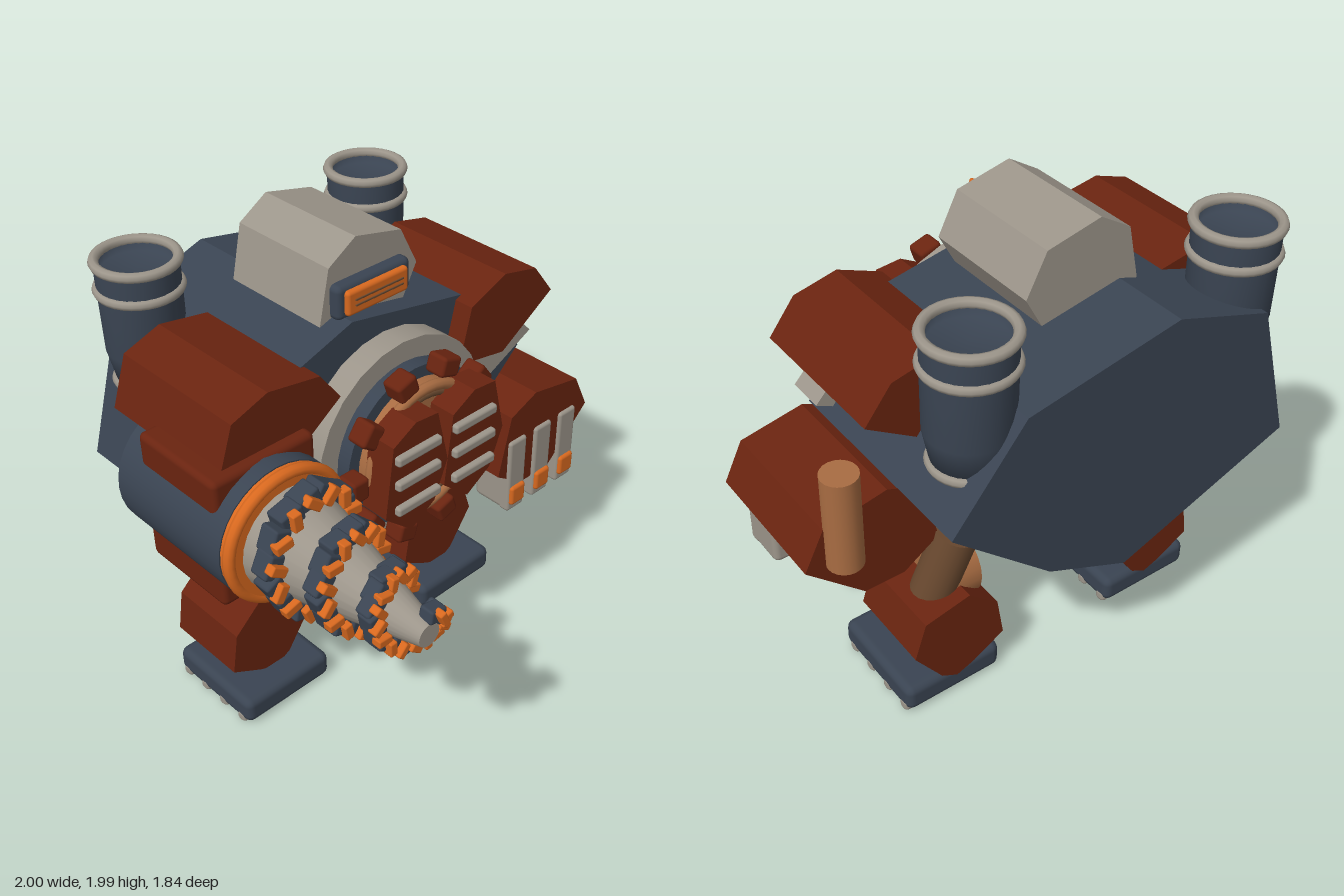
import * as THREE from 'three';
import { RoundedBoxGeometry } from 'three/addons/geometries/RoundedBoxGeometry.js';

const mat = (name, color) => new THREE.MeshStandardMaterial({ name, color });

export function createModel() {
  const model = new THREE.Group();
  model.name = 'drillRobot';
  const red = mat('rust red', 0x6a2410), slate = mat('slate blue', 0x3a4452);
  const cream = mat('warm grey', 0x9c958a), tan = mat('copper', 0xa86c42);
  const orange = mat('orange', 0xd9691f), brown = mat('dark bronze', 0x6b4a30);

  const add = (name, geo, material, x = 0, y = 0, z = 0) => {
    const m = new THREE.Mesh(geo, material);
    m.name = name;
    m.position.set(x, y, z);
    model.add(m);
    return m;
  };
  // polygon in the front plane, extruded from z0 to z1
  const prism = (name, pts, z0, z1, material, dx = 0) => {
    const shape = new THREE.Shape(pts.map(([x, y]) => new THREE.Vector2(x + dx, y)));
    const geo = new THREE.ExtrudeGeometry(shape, { depth: z1 - z0, bevelEnabled: false });
    return add(name, geo, material, 0, 0, z0);
  };
  // rounded box given by its limits
  const block = (name, x0, x1, y0, y1, z0, z1, material, r = 0.015) => add(name,
    new RoundedBoxGeometry(x1 - x0, y1 - y0, z1 - z0, 2, r), material,
    (x0 + x1) / 2, (y0 + y1) / 2, (z0 + z1) / 2);
  // cylinder or cone along z
  const drum = (name, x, y, z0, z1, r0, r1, material, sides = 32) => add(name,
    new THREE.CylinderGeometry(r1, r0, z1 - z0, sides).rotateX(Math.PI / 2), material, x, y, (z0 + z1) / 2);
  // cylinder between two points
  const rod = (name, a, b, r, material) => {
    const p = new THREE.Vector3(...a), q = new THREE.Vector3(...b), d = q.clone().sub(p);
    const m = add(name, new THREE.CylinderGeometry(r, r, d.length(), 20), material);
    m.position.copy(p).add(q).multiplyScalar(0.5);
    m.quaternion.setFromUnitVectors(new THREE.Vector3(0, 1, 0), d.normalize());
    return m;
  };

  // Hull
  prism('hull', [[-0.2, 1.72], [-0.62, 1.58], [-0.8, 0.99], [-0.05, 0.71], [0.3, 0.87],
    [0.71, 1.24], [0.42, 1.6]], -0.915, -0.03, slate);

  // Head and visor
  prism('head', [[-0.1, 1.99], [-0.23, 1.91], [-0.29, 1.65], [-0.15, 1.58], [0.1, 1.6],
    [0.2, 1.78], [0.12, 1.94]], -0.61, -0.115, cream);
  block('visorFrame', -0.23, 0.13, 1.705, 1.845, -0.16, -0.07, slate, 0.025);
  block('visor', -0.2, 0.1, 1.725, 1.825, -0.1, -0.05, orange, 0.015);
  for (const y of [1.765, 1.787]) block('visorSlit', -0.165, 0.07, y - 0.004, y + 0.004, -0.052, -0.046, brown, 0.002);

  // Chest hatch
  const cx = -0.05, cy = 1.2;
  drum('hatchFlange', cx, cy, -0.06, 0.075, 0.42, 0.42, cream, 24);
  drum('hatchCollar', cx, cy, 0.07, 0.135, 0.335, 0.335, slate);
  drum('hatchBase', cx, cy, 0.13, 0.18, 0.285, 0.285, tan);
  add('hatchRim', new THREE.TorusGeometry(0.27, 0.022, 10, 40), tan, cx, cy, 0.185);
  add('hatchInnerRim', new THREE.TorusGeometry(0.235, 0.014, 8, 40), brown, cx, cy, 0.18);
  for (let i = 0; i < 10; i++) {
    const a = i * Math.PI / 5;
    const bolt = add('hatchBolt', new RoundedBoxGeometry(0.08, 0.095, 0.09, 2, 0.015), red,
      cx + 0.345 * Math.cos(a), cy + 0.345 * Math.sin(a), 0.175);
    bolt.rotation.z = a;
  }
  const door = [[-0.31, 1.39], [-0.2, 1.45], [-0.09, 1.44], [-0.035, 1.21], [-0.1, 1.05],
    [-0.22, 0.975], [-0.35, 1.09]];
  for (const dx of [0, 0.3]) {
    prism('hatchDoor', door, 0.17, 0.295, red, dx);
    for (const y of [1.105, 1.22, 1.33])
      block('doorBar', -0.305 + dx * 0.97, -0.085 + dx * 0.97, y - 0.02, y + 0.02, 0.28, 0.32, cream, 0.012);
  }

  // Exhaust stacks, open at the top
  for (const x of [-0.615, 0.512]) {
    const profile = [[0, 1.35], [0.125, 1.35], [0.155, 1.5], [0.158, 1.87], [0.14, 1.87], [0.135, 1.82], [0, 1.82]];
    add('stack', new THREE.LatheGeometry(profile.map(p => new THREE.Vector2(...p)), 28), slate, x, 0, -0.73);
    for (const [y, r] of [[1.86, 0.153], [1.75, 0.153], [1.365, 0.128]])
      add('stackRing', new THREE.TorusGeometry(r, 0.02, 8, 32).rotateX(Math.PI / 2), cream, x, y, -0.73);
  }

  // Shoulders
  prism('leftShoulder', [[0.27, 1.37], [0.33, 1.6], [0.515, 1.675], [0.69, 1.635], [0.795, 1.5],
    [0.52, 1.325]], -0.56, 0.055, red);
  prism('rightShoulder', [[-0.89, 1.42], [-0.82, 1.62], [-0.66, 1.675], [-0.43, 1.635], [-0.34, 1.51],
    [-0.6, 1.33]], -0.56, 0.055, red);
  prism('shoulderBracket', [[0.36, 1.27], [0.5, 1.19], [0.745, 1.31], [0.67, 1.39], [0.45, 1.42]], -0.15, 0, cream);

  // Claw arm
  rod('armRod', [0.85, 0.88, -0.47], [0.85, 1.28, -0.47], 0.07, tan);
  prism('forearm', [[0.45, 0.77], [0.515, 1.04], [0.66, 1.1], [0.92, 1.05], [1, 0.89], [0.77, 0.67],
    [0.6, 0.67]], -0.455, 0.13, red);
  for (const x of [0.555, 0.712, 0.868]) {
    block('fingerBack', x - 0.052, x + 0.052, 0.56, 0.92, 0.09, 0.145, cream);
    block('finger', x - 0.052, x + 0.052, 0.56, 0.82, -0.05, 0.145, cream, 0.025);
    block('fingerPad', x - 0.043, x + 0.043, 0.595, 0.69, 0.11, 0.16, orange);
  }

  // Drill arm
  const dx = -0.725, dy = 1.185;
  drum('drillMotor', dx, dy, -0.43, 0.16, 0.27, 0.27, slate);
  block('drillArmour', -0.95, -0.5, 0.91, 1.46, -0.33, 0.1, red, 0.025);
  drum('drillPlate', dx, dy, 0.16, 0.21, 0.265, 0.255, orange);
  add('drillRing', new THREE.TorusGeometry(0.25, 0.024, 10, 40), orange, dx, dy, 0.19);
  drum('drillCone', dx, dy, 0.2, 0.89, 0.21, 0.045, cream, 24);

  // Cutting teeth wound around the cone
  const teeth = 46, turns = 3.2;
  for (let i = 0; i < teeth; i++) {
    const t = (i + 0.5) / teeth, a = t * turns * Math.PI * 2, s = 1 - 0.3 * t;
    const tooth = new THREE.Group();
    tooth.name = 'drillTooth';
    tooth.position.set(dx, dy, 0.235 + t * turns * 0.2);
    tooth.rotation.z = a;
    const r = 0.215 - 0.145 * t;
    const root = new THREE.Mesh(new RoundedBoxGeometry(0.075 * s, 0.1 * s, 0.085 * s, 1, 0.01), slate);
    root.position.x = r;
    root.rotation.z = (i % 2 ? 0.35 : -0.15);
    root.name = 'toothRoot';
    const tip = new THREE.Mesh(new RoundedBoxGeometry(0.075 * s, 0.04 * s, 0.04, 1, 0.006), orange);
    tip.position.set(r + 0.005, 0, 0.04 * s + 0.008);
    tip.rotation.z = (i % 2 ? 0.9 : -0.3);
    tip.name = 'toothTip';
    tooth.add(root, tip);
    model.add(tooth);
  }

  // Legs
  const shin = [[-0.74, 0.22], [-0.71, 0.4], [-0.58, 0.515], [-0.38, 0.475], [-0.33, 0.32],
    [-0.45, 0.15], [-0.52, 0.11], [-0.6, 0.14]];
  for (const side of [-1, 1]) {
    const at = d => cx + side * d;
    rod('hipStrut', [at(0.43), 0.77, -0.475], [at(0.52), 0.42, -0.41], 0.088, brown);
    rod('knee', [at(0.34), 0.5, -0.36], [at(0.505), 0.5, -0.36], 0.15, tan);
    prism('shin', shin, -0.57, -0.2, red, side < 0 ? 0 : 0.97);
    const fx = side < 0 ? -0.548 : 0.448;
    block('foot', fx - 0.22, fx + 0.22, 0.012, 0.132, -0.555, -0.085, slate, 0.035);
    for (const z of [-0.145, -0.268, -0.39, -0.51])
      block('footCleat', fx - 0.222, fx + 0.222, 0, 0.055, z - 0.025, z + 0.025, cream, 0.018);
  }
  return model;
}
